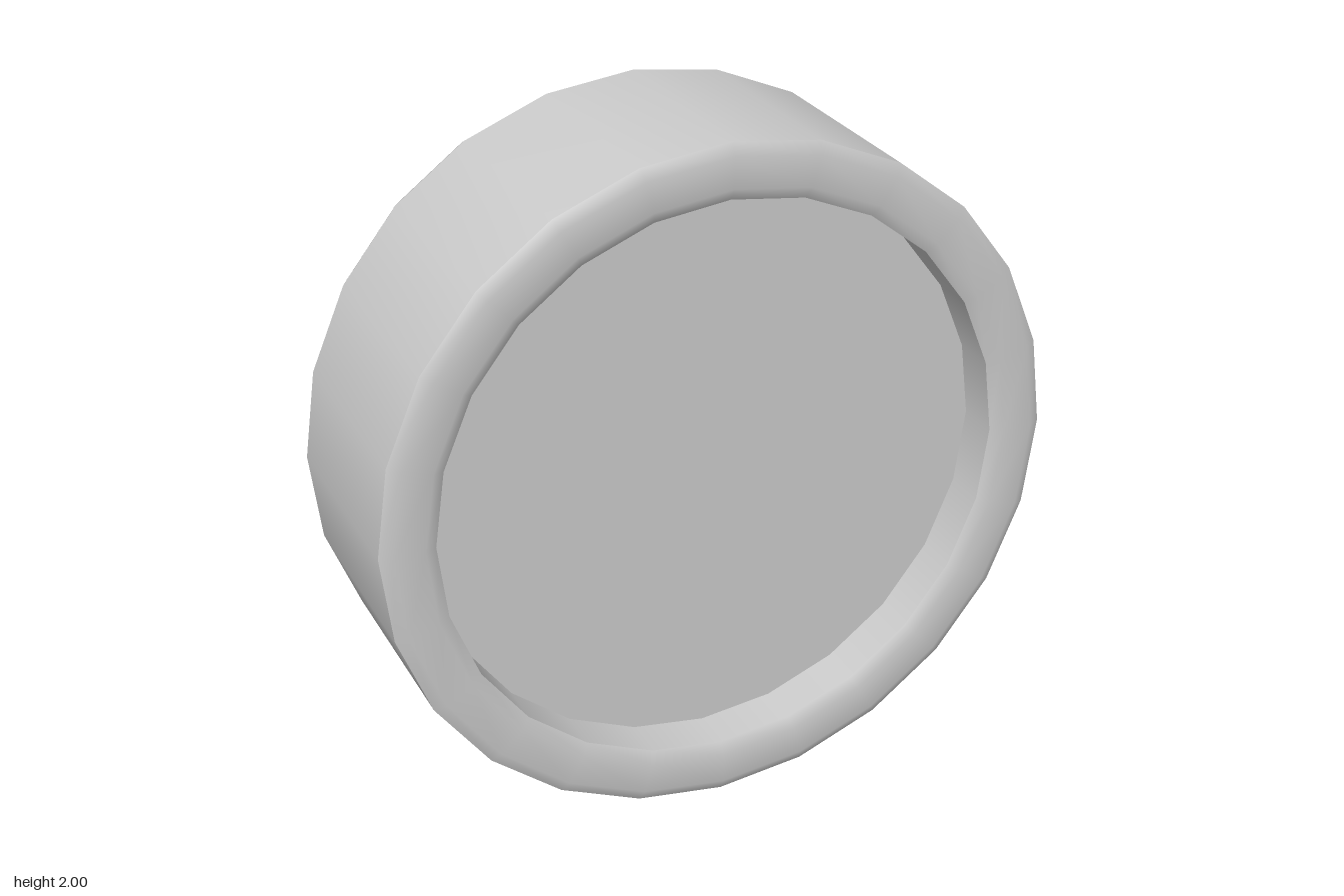
import * as THREE from 'three';

const SIDES = 24;
const material = new THREE.MeshStandardMaterial({ color: 0xcccccc, side: THREE.DoubleSide });

// Turns a [radius, z] profile, listed from back to front, around the z axis
function turned(name, profile) {
  const points = profile.map(([r, z]) => new THREE.Vector2(r, z));
  const geometry = new THREE.LatheGeometry(points, SIDES).rotateX(Math.PI / 2);
  const mesh = new THREE.Mesh(geometry, material);
  mesh.name = name;
  mesh.position.y = 1;
  return mesh;
}

export function createModel() {
  const group = new THREE.Group();
  group.name = 'roundHousing';

  // Hollow drum with a rounded shoulder and a hole in its back
  group.add(turned('housingShell', [
    [0.43, -0.153], [0.89, -0.15], [0.965, -0.12], [1, -0.05], [1, 0.58],
  ]));

  // Rounded front lip
  group.add(turned('frontRim', [
    [1, 0.58], [0.965, 0.6], [0.875, 0.6], [0.84, 0.58],
  ]));

  // Straight wall from the lip down to the recessed face
  group.add(turned('recessWall', [[0.84, 0.58], [0.84, 0.45]]));

  // Recessed flat face
  const face = new THREE.Mesh(new THREE.CircleGeometry(0.84, SIDES), material);
  face.name = 'frontFace';
  face.position.set(0, 1, 0.45);
  group.add(face);

  // Open thin-walled tube at the back
  group.add(turned('rearTube', [[0.43, -0.6], [0.43, -0.153]]));

  return group;
}
